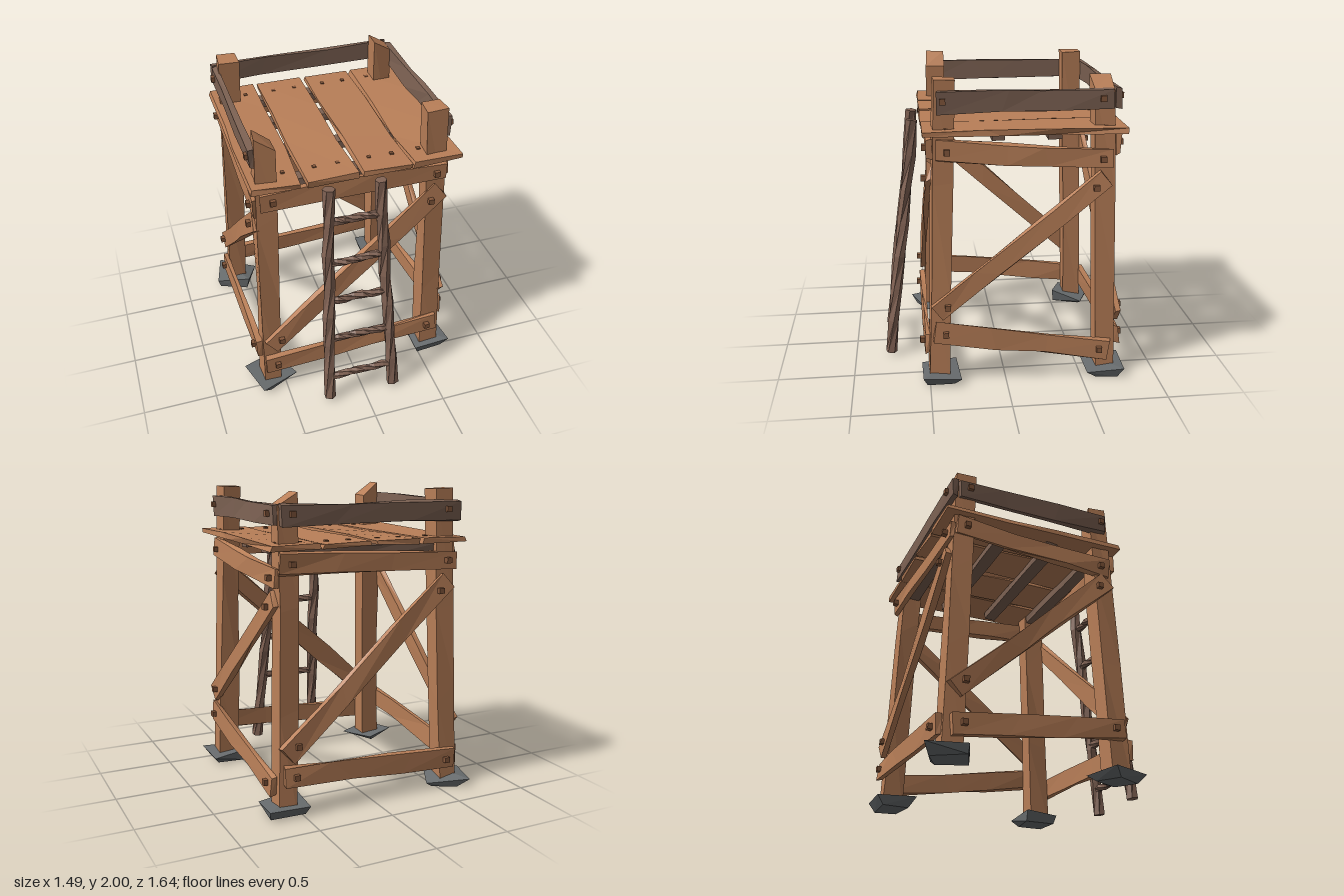
import * as THREE from 'three';
import { ConvexGeometry } from 'three/addons/geometries/ConvexGeometry.js';

const V = (x, y, z) => new THREE.Vector3(x, y, z);
const mat = (color) => new THREE.MeshStandardMaterial({ color, flatShading: true });
const wood = mat(0xb97f58), darkWood = mat(0x7d6253), ladderWood = mat(0x836455);
const pegWood = mat(0x85583c), stone = mat(0x686c6e);

// repeatable noise in -1..1, equal for vertices at the same place
function noise(p, seed, k) {
  const q = [p.x, p.y, p.z].map((v) => Math.round(v * 500));
  const s = Math.sin(q[0] * 1.27 + q[1] * 3.11 + q[2] * 7.47 + seed * 5.31 + k * 9.73) * 437.58;
  return (s - Math.floor(s)) * 2 - 1;
}

function roughen(geo, rule) {
  const pos = geo.attributes.position, p = V(0, 0, 0);
  for (let i = 0; i < pos.count; i++) {
    p.fromBufferAttribute(pos, i);
    rule(p, p.clone());
    pos.setXYZ(i, p.x, p.y, p.z);
  }
  geo.computeVertexNormals();
  return geo;
}

export function createModel() {
  const model = new THREE.Group();
  let seed = 1;

  const add = (name, geo, material) => {
    const mesh = new THREE.Mesh(geo, material);
    mesh.name = name;
    model.add(mesh);
    return mesh;
  };

  // hewn timber from a to b: width across, thickness along the outward normal
  function timber(name, a, b, width, thick, normal, material, rough = 0.012, slant = 0) {
    const len = a.distanceTo(b), s = seed++;
    const geo = roughen(new THREE.BoxGeometry(len, width, thick, 3, 1, 1), (p, o) => {
      const end = Math.abs(o.x) > len * 0.49;
      p.y += noise(o, s, 1) * rough;
      p.z += noise(o, s, 2) * Math.min(rough * 0.7, thick * 0.2);
      p.x += end ? noise(o, s, 3) * rough * 0.6 : noise(o, s, 3) * len * 0.08;
      if (slant && o.x > len * 0.49 && o.y < 0) p.x -= slant;
    });
    const x = b.clone().sub(a).normalize();
    const z = normal.clone().addScaledVector(x, -normal.dot(x)).normalize();
    const m = new THREE.Matrix4().makeBasis(x, z.clone().cross(x), z);
    m.setPosition(a.clone().add(b).multiplyScalar(0.5));
    add(name, geo.applyMatrix4(m), material);
  }

  function peg(p, normal, size = 0.036, depth = 0.036) {
    const mesh = add('peg', new THREE.BoxGeometry(size, size, depth), pegWood);
    mesh.position.copy(p);
    mesh.lookAt(p.clone().add(normal));
  }

  // round pole with knotty facets
  function pole(name, a, b, r, rings) {
    const len = a.distanceTo(b), s = seed++;
    const geo = roughen(new THREE.CylinderGeometry(r, r, len, 6, rings), (p, o) => {
      const ring = V(0, o.y, 0);
      const k = 1 + noise(o, s, 1) * 0.12;
      const turn = Math.round((o.y / len + 0.5) * rings) * 0.5;
      p.set(o.x * k, o.y, o.z * k).applyAxisAngle(V(0, 1, 0), turn);
      p.x += noise(ring, s, 4) * r * 0.2;
      p.z += noise(ring, s, 5) * r * 0.2;
    });
    const mesh = add(name, geo, ladderWood);
    mesh.position.copy(a).add(b).multiplyScalar(0.5);
    mesh.quaternion.setFromUnitVectors(V(0, 1, 0), b.clone().sub(a).normalize());
  }

  // four leaning legs on foot stones
  const legs = [[1, 1, 0], [-1, 1, 0.08], [1, -1, 0.08], [-1, -1, 0]];
  for (const [sx, sz, slant] of legs) {
    const foot = V(sx * 0.59, 0.02, sz > 0 ? 0.435 : -0.665);
    const top = V(sx * 0.54, 1.995, sz > 0 ? 0.375 : -0.605);
    timber('leg', foot, top, 0.13, 0.13, V(0, 0, 1), wood, 0.01, slant);

    const points = [], s = seed++, yaw = sx > 0 ? 0 : sz * 0.35;
    for (const [i, j] of [[1, 1], [1, -1], [-1, 1], [-1, -1]]) {
      const c = V(i, 0, j);
      const rim = V(i * (0.135 + noise(c, s, 1) * 0.02), 0.07 + noise(c, s, 2) * 0.035, j * (0.13 + noise(c, s, 3) * 0.02));
      const base = V(i * (0.09 + noise(c, s, 4) * 0.03), 0.005, j * (0.09 + noise(c, s, 5) * 0.03));
      points.push(rim, base);
    }
    points.forEach((p) => p.applyAxisAngle(V(0, 1, 0), yaw));
    const rock = add('footStone', new ConvexGeometry(points), stone);
    rock.position.set(sx * 0.595, 0, sz > 0 ? 0.43 : -0.665);
  }

  // outward planes of the four walls; u runs along the wall
  const lean = 0.032;
  const walls = {
    front: { at: (u, y, d) => V(u, y, 0.5 - lean * y + d), n: V(0, lean, 1) },
    back: { at: (u, y, d) => V(u, y, -0.73 + lean * y - d), n: V(0, lean, -1) },
    left: { at: (u, y, d) => V(0.65 - lean * y + d, y, u), n: V(1, lean, 0) },
    right: { at: (u, y, d) => V(-0.65 + lean * y - d, y, u), n: V(-1, lean, 0) },
  };
  // wall, part, first end (u, y), second end (u, y), width
  const boards = [
    ['front', 'lowerBoard', -0.63, 0.215, 0.62, 0.275, 0.13],
    ['front', 'brace', -0.59, 0.38, 0.58, 1.43, 0.125],
    ['front', 'upperBoard', -0.6, 1.58, 0.61, 1.57, 0.125],
    ['back', 'lowerBoard', -0.62, 0.2, 0.62, 0.27, 0.13],
    ['back', 'brace', -0.56, 1.41, 0.6, 0.4, 0.125],
    ['back', 'upperBoard', -0.62, 1.54, 0.62, 1.58, 0.125],
    ['left', 'lowerBoard', 0.46, 0.375, -0.68, 0.195, 0.135],
    ['left', 'brace', 0.44, 0.5, -0.63, 1.36, 0.115],
    ['left', 'upperBoard', 0.43, 1.565, -0.67, 1.485, 0.125],
    ['right', 'lowerBoard', 0.46, 0.33, -0.68, 0.2, 0.13],
    ['right', 'brace', 0.41, 1.4, -0.67, 0.42, 0.115],
    ['right', 'upperBoard', 0.43, 1.5, -0.67, 1.58, 0.125],
  ];
  for (const [wall, part, u1, y1, u2, y2, w] of boards) {
    const { at, n } = walls[wall];
    timber(part, at(u1, y1, 0.02), at(u2, y2, 0.02), w, 0.036, n, wood);
    for (const t of [0.06, 0.94]) {
      peg(at(u1 + (u2 - u1) * t, y1 + (y2 - y1) * t, 0.048), n);
    }
  }

  // joists and the four deck planks
  for (const z of [-0.61, -0.31, 0.04, 0.37]) {
    timber('joist', V(-0.56, 1.63, z), V(0.56, 1.63, z), 0.085, 0.055, V(0, 1, 0), darkWood, 0.006);
  }
  const planks = [[-0.505, -0.5, 0.02], [-0.155, -0.16, -0.03], [0.2, 0.19, 0.03], [0.53, 0.525, -0.02]];
  for (const [xf, xb, roll] of planks) {
    timber('deckPlank', V(xb, 1.677, -0.75), V(xf, 1.677, 0.515), 0.318, 0.034, V(roll, 1, 0), wood, 0.012);
    for (const z of [-0.62, 0.365]) {
      for (const dx of [-0.075, 0.075]) peg(V(xf + dx, 1.69, z), V(0, 1, 0), 0.024, 0.022);
    }
  }

  // guard rails on three sides
  timber('backRail', V(-0.64, 1.86, -0.695), V(0.61, 1.86, -0.695), 0.13, 0.04, V(0, 0, -1), darkWood, 0.01);
  for (const s of [-1, 1]) {
    timber('sideRail', V(s * 0.62, 1.86, 0.42), V(s * 0.62, 1.86, -0.66), 0.13, 0.04, V(s, 0, 0), darkWood, 0.01);
    for (const z of [0.385, -0.59]) peg(V(s * 0.645, 1.87, z), V(s, 0, 0));
    peg(V(s * 0.54, 1.87, -0.72), V(0, 0, -1));
  }

  // ladder leaning on the front
  const ends = [[V(-0.25, 0.025, 0.757), V(-0.2, 1.655, 0.56)], [V(0.21, 0.025, 0.757), V(0.13, 1.655, 0.56)]];
  for (const [a, b] of ends) pole('ladderRail', a, b, 0.04, 7);
  for (const y of [0.2, 0.52, 0.83, 1.12, 1.42]) {
    const t = (y - 0.025) / 1.63;
    pole('ladderRung', ends[0][0].clone().lerp(ends[0][1], t), ends[1][0].clone().lerp(ends[1][1], t), 0.026, 7);
  }
  return model;
}
